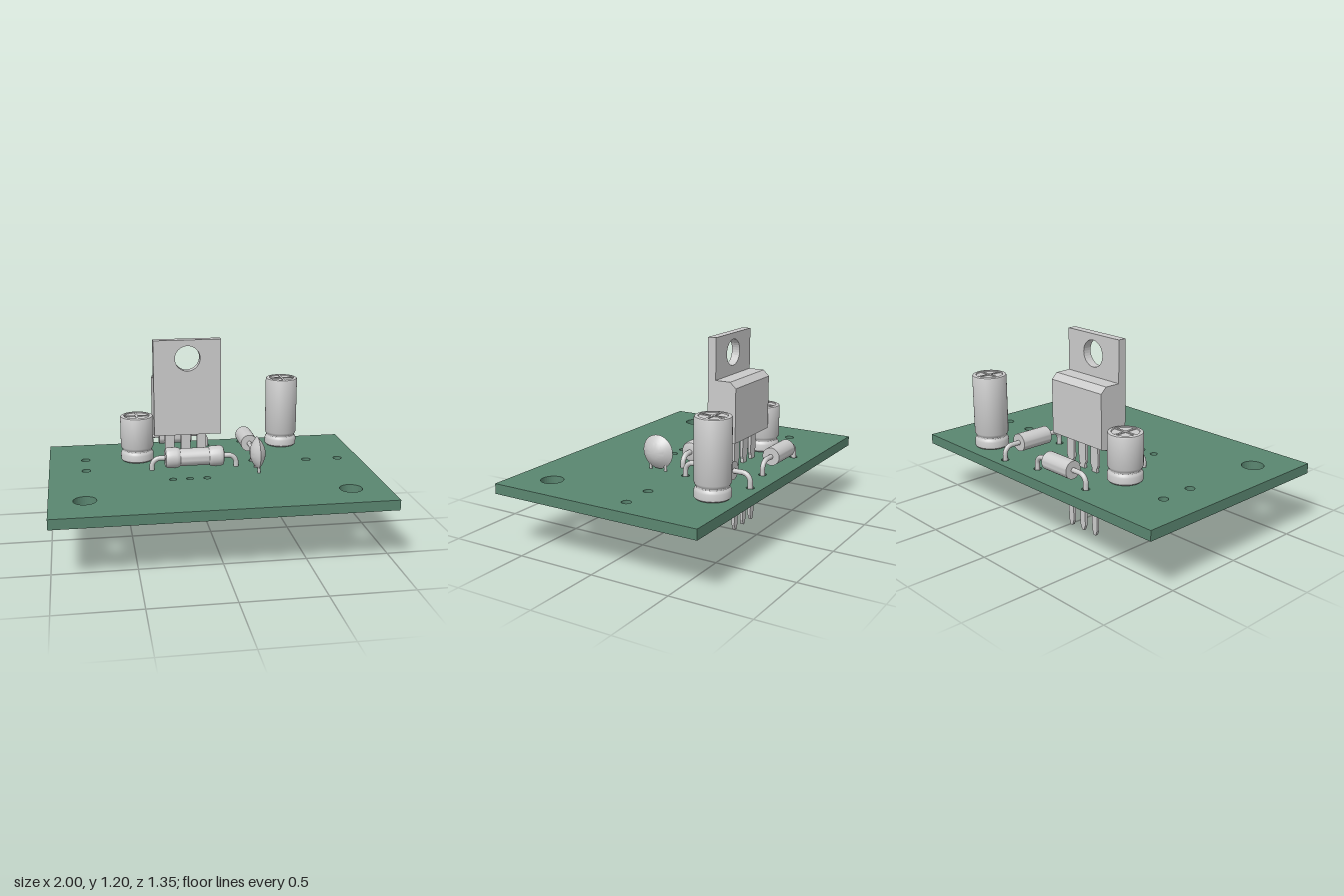
import * as THREE from 'three';
import { toCreasedNormals } from 'three/addons/utils/BufferGeometryUtils.js';

const grey = new THREE.MeshStandardMaterial({ color: 0xcccccc });
const green = new THREE.MeshStandardMaterial({ color: 0x5a8670 });

const BOARD_BOTTOM = 0.345, BOARD_TOP = 0.407;

function add(parent, name, geometry, x = 0, y = 0, z = 0, material = grey) {
  const mesh = new THREE.Mesh(geometry, material);
  mesh.name = name;
  mesh.position.set(x, y, z);
  parent.add(mesh);
  return mesh;
}

const polygon = (points) => new THREE.Shape(points.map(([x, y]) => new THREE.Vector2(x, y)));

const circleHole = (x, y, r) => new THREE.Path().absarc(x, y, r, 0, Math.PI * 2, true);

const extrude = (shape, depth) =>
  new THREE.ExtrudeGeometry(shape, { depth, bevelEnabled: false, curveSegments: 16 });

const lathe = (points, segments = 36) => toCreasedNormals(
  new THREE.LatheGeometry(points.map(([r, y]) => new THREE.Vector2(r, y)), segments), 0.6);

// Upright pin between two heights
function pin(parent, name, x, z, r, bottom, top) {
  return add(parent, name, new THREE.CylinderGeometry(r, r, top - bottom, 12), x, (top + bottom) / 2, z);
}

// Drilled circuit board
function buildBoard(group) {
  const shape = polygon([[-1, -0.675], [1, -0.675], [1, 0.675], [-1, 0.675]]);
  const holes = [ // x, z, radius
    [-0.79, 0.41, 0.068], [0.775, 0.44, 0.068],
    [-0.77, -0.34, 0.028], [-0.77, -0.125, 0.028],
    [0.65, -0.145, 0.028], [0.86, -0.145, 0.028],
    [-0.25, 0.12, 0.022], [-0.145, 0.12, 0.022], [-0.04, 0.12, 0.022],
    [-0.375, -0.555, 0.024], [0.05, -0.555, 0.024],
    [0.3, -0.605, 0.024], [0.3, -0.175, 0.024],
  ];
  for (const [x, z, r] of holes) shape.holes.push(circleHole(x, -z, r));
  const geometry = extrude(shape, BOARD_TOP - BOARD_BOTTOM).rotateX(-Math.PI / 2);
  add(group, 'circuitBoard', geometry, 0, BOARD_BOTTOM, 0, green);
}

// Three-legged regulator with a drilled metal tab
function buildRegulator(group) {
  const part = new THREE.Group();
  part.name = 'regulator';
  group.add(part);
  const left = -0.33, right = 0.097, shoulder = 0.95;

  // Side profile in (-z, y), swept along x
  const body = polygon([[0.205, 0.59], [0.34, 0.568], [0.393, 0.583], [0.393, 0.915],
    [0.355, shoulder], [0.205, shoulder]]);
  add(part, 'regulatorBody', extrude(body, right - left).rotateY(Math.PI / 2), left);

  const tab = polygon([[left, shoulder], [right, shoulder], [right, 1.203], [left, 1.203]]);
  tab.holes.push(circleHole(-0.115, 1.085, 0.08));
  add(part, 'regulatorTab', extrude(tab, 0.053), 0, 0, -0.258);

  // Legs: wide near the body, pointed at the tip
  const leg = polygon([[-0.008, 0], [0.008, 0], [0.021, 0.033], [0.021, 0.43], [0.031, 0.45],
    [0.031, 0.6], [-0.031, 0.6], [-0.031, 0.45], [-0.021, 0.43], [-0.021, 0.033]]);
  for (const x of [-0.22, -0.115, -0.01])
    add(part, 'regulatorLeg', extrude(leg, 0.018), x, 0, -0.349);
}

// Can capacitor with a crimped groove and a scored top
function buildCapacitor(group, name, x, z, top) {
  const part = new THREE.Group();
  part.name = name;
  part.position.set(x, 0, z);
  group.add(part);
  const r = 0.105, base = 0.412;
  add(part, 'can', lathe([
    [0, base], [r - 0.008, base], [r, base + 0.008], [r, 0.458], [r - 0.004, 0.468],
    [r - 0.011, 0.478], [r - 0.011, 0.486], [r - 0.004, 0.496], [r, 0.506],
    [r, top - 0.01], [r - 0.003, top - 0.003], [r - 0.01, top],
    [0.082, top], [0.08, top - 0.006], [0, top - 0.006],
  ]));
  for (const turn of [0, Math.PI / 2]) {
    const bar = add(part, 'topScore', new THREE.BoxGeometry(0.158, 0.006, 0.014), 0, top - 0.004, 0);
    bar.rotation.y = turn;
  }
  for (const side of [-1, 1]) pin(part, 'capacitorLead', 0, side * 0.044, 0.008, 0.33, base + 0.01);
}

// Body lying on its side, with a lead bent down at each end
function buildAxial(group, name, { x, y, z, profile, half, span, leadRadius, bottom, turn = 0 }) {
  const part = new THREE.Group();
  part.name = name;
  part.position.set(x, y, z);
  part.rotation.y = turn;
  group.add(part);
  add(part, name + 'Body', lathe(profile).rotateZ(-Math.PI / 2));

  const bend = 0.05, inner = half - 0.01, outer = span - bend;
  for (const facing of [0, Math.PI]) {
    const lead = new THREE.Group();
    lead.name = name + 'Lead';
    lead.rotation.y = facing;
    part.add(lead);
    add(lead, 'leadRun', new THREE.CylinderGeometry(leadRadius, leadRadius, outer - inner, 14)
      .rotateZ(Math.PI / 2), (inner + outer) / 2);
    add(lead, 'leadBend', new THREE.TorusGeometry(bend, leadRadius, 14, 10, Math.PI / 2), outer, -bend);
    pin(lead, 'leadDrop', span, 0, leadRadius, bottom - y, -bend);
  }
}

// Lens-shaped disc capacitor standing on edge
function buildDiscCapacitor(group) {
  const part = new THREE.Group();
  part.name = 'discCapacitor';
  part.position.set(0.293, 0, 0.022);
  group.add(part);
  const radius = 0.104, thickness = 0.049, profile = [];
  for (let i = 0; i <= 20; i++) {
    const t = i / 10 - 1;
    profile.push([radius * (1 - t * t), t * thickness]);
  }
  // Swap the arc so the sharp rim lies at the full radius
  const lens = profile.map((_, i) => {
    const t = i / 10 - 1;
    const r = radius * Math.sqrt(1 - Math.abs(t)) * (1 - 0.06 * Math.abs(t) * (1 - Math.abs(t)));
    return [r, t * thickness];
  });
  add(part, 'disc', lathe(lens, 40).rotateZ(-Math.PI / 2), 0, 0.52, 0);
  for (const side of [-1, 1]) pin(part, 'discLead', 0, side * 0.053, 0.009, 0.33, 0.46);
}

export function createModel() {
  const group = new THREE.Group();
  group.name = 'circuitBoardAssembly';

  buildBoard(group);
  buildRegulator(group);
  buildCapacitor(group, 'shortCapacitor', -0.435, -0.305, 0.705);
  buildCapacitor(group, 'tallCapacitor', 0.56, -0.51, 0.875);
  buildDiscCapacitor(group);

  // Resistor with thicker rounded ends, mirrored about its middle
  const end = [[0, 0.187], [0.045, 0.187], [0.058, 0.182], [0.064, 0.17], [0.065, 0.155],
    [0.065, 0.115], [0.062, 0.1], [0.056, 0.092]];
  const resistorProfile = [...end.map(([r, h]) => [r, -h]), ...end.slice().reverse()];
  buildAxial(group, 'resistor', {
    x: -0.0925, y: 0.482, z: -0.08, profile: resistorProfile,
    half: 0.187, span: 0.2675, leadRadius: 0.016, bottom: 0.288,
  });

  // Two diodes, one along each direction of the board
  const diode = {
    profile: [[0, -0.1075], [0.055, -0.1075], [0.055, 0.1075], [0, 0.1075]],
    half: 0.1075, span: 0.214, leadRadius: 0.015, bottom: 0.306, y: 0.49,
  };
  buildAxial(group, 'backDiode', { ...diode, x: -0.1625, z: -0.555 });
  buildAxial(group, 'sideDiode', { ...diode, x: 0.3, z: -0.39, turn: Math.PI / 2 });

  return group;
}
